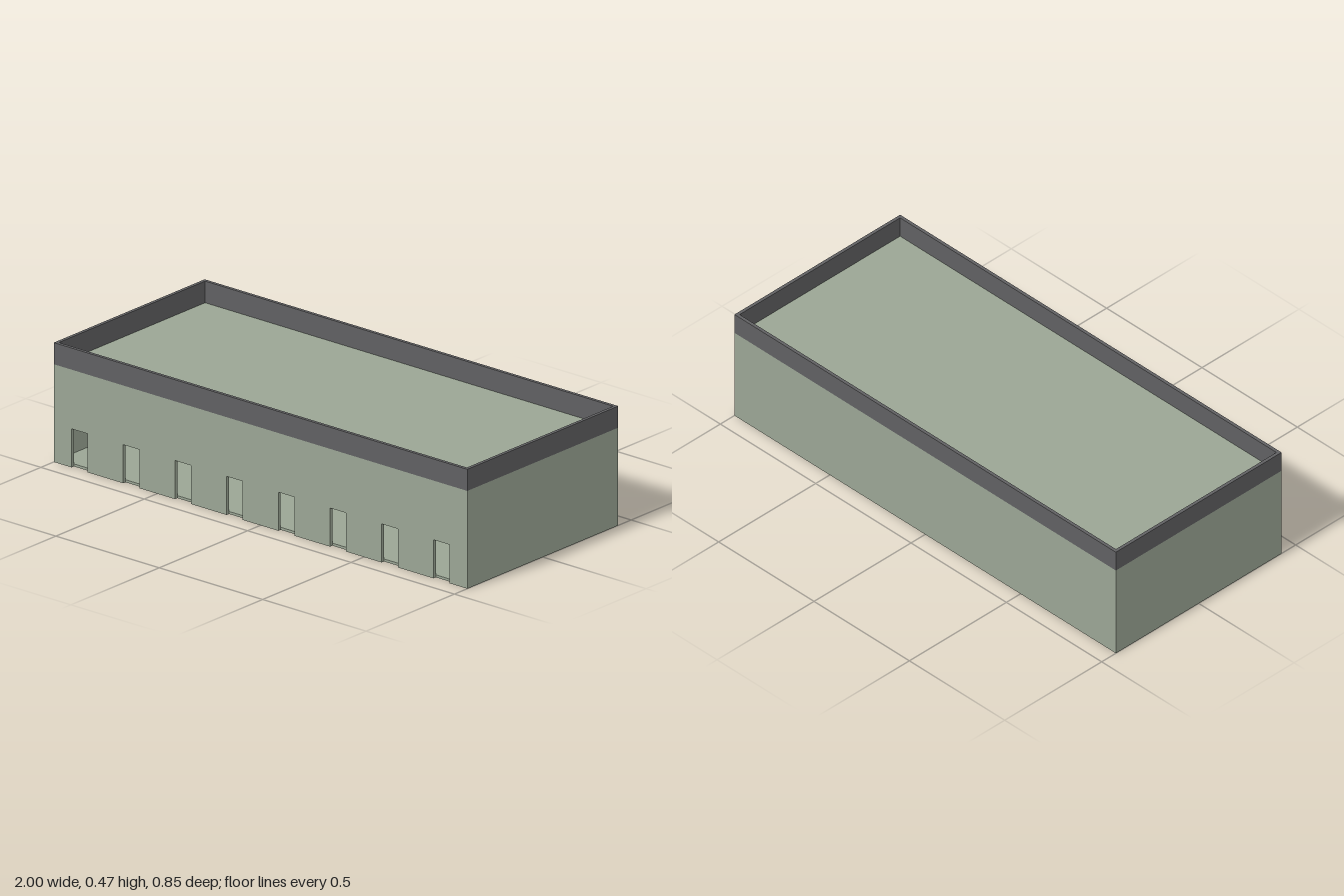
import * as THREE from 'three';

const W = 2, D = 0.854, WALL_H = 0.385, TOP = 0.47, T = 0.0134, SLAB = 0.01;
const DOORS = 8, DOOR_W = 0.078, DOOR_H = 0.152;

export function createModel() {
  const wallPaint = new THREE.MeshStandardMaterial({ color: 0x9aa594 });
  wallPaint.name = 'sage green';
  const parapetPaint = new THREE.MeshStandardMaterial({ color: 0x606062 });
  parapetPaint.name = 'dark grey';

  const building = new THREE.Group();
  building.name = 'building';

  function add(name, geometry, material, x, y, z) {
    const mesh = new THREE.Mesh(geometry, material);
    mesh.name = name;
    mesh.position.set(x, y, z);
    building.add(mesh);
    return mesh;
  }

  // Front wall with a row of doorways open down to the ground
  const front = new THREE.Shape();
  front.moveTo(-W / 2, 0);
  for (let i = 0; i < DOORS; i++) {
    const x = -W / 2 + (i + 0.5) * (W / DOORS);
    front.lineTo(x - DOOR_W / 2, 0);
    front.lineTo(x - DOOR_W / 2, DOOR_H);
    front.lineTo(x + DOOR_W / 2, DOOR_H);
    front.lineTo(x + DOOR_W / 2, 0);
  }
  front.lineTo(W / 2, 0);
  front.lineTo(W / 2, WALL_H);
  front.lineTo(-W / 2, WALL_H);
  front.closePath();
  add('frontWall', new THREE.ExtrudeGeometry(front, { depth: T, bevelEnabled: false }),
    wallPaint, 0, 0, D / 2 - T);

  // Plain back and side walls
  add('backWall', new THREE.BoxGeometry(W, WALL_H, T), wallPaint, 0, WALL_H / 2, -D / 2 + T / 2);
  for (const [name, s] of [['leftWall', 1], ['rightWall', -1]]) {
    add(name, new THREE.BoxGeometry(T, WALL_H, D - 2 * T), wallPaint, s * (W - T) / 2, WALL_H / 2, 0);
  }

  // Floor and roof slabs fitted between the walls
  const slab = new THREE.BoxGeometry(W - 2 * T, SLAB, D - 2 * T);
  add('floor', slab, wallPaint, 0, SLAB / 2, 0);
  add('roof', slab, wallPaint, 0, WALL_H - SLAB / 2, 0);

  // Parapet ring around the roof
  const rect = (C, w, d) => new C([
    new THREE.Vector2(-w / 2, -d / 2), new THREE.Vector2(w / 2, -d / 2),
    new THREE.Vector2(w / 2, d / 2), new THREE.Vector2(-w / 2, d / 2),
  ]);
  const ring = rect(THREE.Shape, W, D);
  ring.holes.push(rect(THREE.Path, W - 2 * T, D - 2 * T));
  const parapet = new THREE.ExtrudeGeometry(ring, { depth: TOP - WALL_H, bevelEnabled: false });
  parapet.rotateX(-Math.PI / 2);
  add('parapet', parapet, parapetPaint, 0, WALL_H, 0);

  return building;
}
